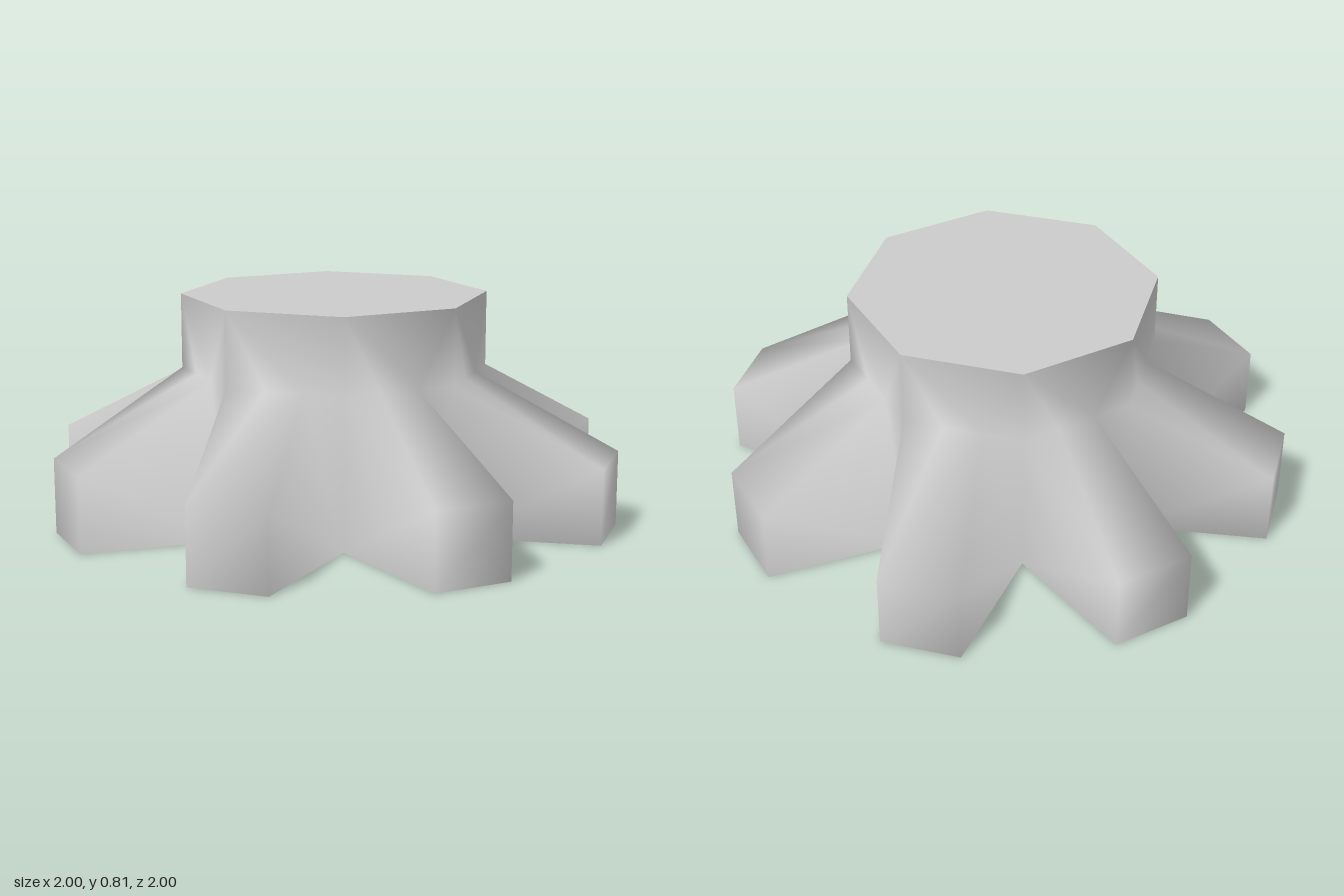
import * as THREE from 'three';

const N = 8;            // number of feet
const R = 0.553;        // corner radius of the octagonal hub
const TOP = 0.81, SHOULDER = 0.54, TOE = 0.27;
const STEP = (Math.PI * 2) / N;
const APOTHEM = R * Math.cos(STEP / 2);
const HALF = R * Math.sin(STEP / 2);

// Point on the hub corner i at height y
function corner(i, y) {
  return [R * Math.sin(i * STEP), y, R * Math.cos(i * STEP)];
}

// Point on foot i: side offset s, distance d from the axis, height y
function footPoint(i, s, d, y) {
  const a = (i + 0.5) * STEP;
  return [d * Math.sin(a) + s * Math.cos(a), y, d * Math.cos(a) - s * Math.sin(a)];
}

// The nine points of one sector: hub corner, toe and shoulder of the foot
function sector(i) {
  const w = HALF * 2 / 3, d = APOTHEM * 2;
  return [
    corner(i, 0), corner(i, SHOULDER), corner(i, TOP),
    footPoint(i, -w, d, 0), footPoint(i, w, d, 0),
    footPoint(i, -w, d, TOE), footPoint(i, w, d, TOE),
    footPoint(i, -w / 2, d / 2, SHOULDER), footPoint(i, w / 2, d / 2, SHOULDER),
  ];
}

// Smooth continuous wall of hub and feet
function wallGeometry() {
  const pos = [], index = [];
  for (let i = 0; i < N; i++) {
    sector(i).forEach((p) => pos.push(...p));
    const o = i * 9, n = ((i + 1) % N) * 9;
    const [cb, cm, ct, b1, b2, t1, t2, s1, s2] = Array.from({ length: 9 }, (_, k) => o + k);
    const db = n, dm = n + 1, dt = n + 2;
    index.push(
      cm, s1, ct, s1, s2, ct, s2, dt, ct, s2, dm, dt,  // neck
      t1, t2, s2, t1, s2, s1,                          // sloping back of the foot
      b1, b2, t2, b1, t2, t1,                          // toe
      cb, b1, t1, cb, t1, cm, cm, t1, s1,              // one flank
      b2, db, t2, db, s2, t2, s2, db, dm               // other flank
    );
  }
  const g = new THREE.BufferGeometry();
  g.setAttribute('position', new THREE.Float32BufferAttribute(pos, 3));
  g.setIndex(index);
  g.computeVertexNormals();
  return g;
}

// Star-shaped underside
function undersideGeometry() {
  const pts = [];
  for (let i = 0; i < N; i++) {
    const s = sector(i);
    [s[0], s[3], s[4]].forEach((p) => pts.push(new THREE.Vector2(p[0], p[2])));
  }
  return new THREE.ShapeGeometry(new THREE.Shape(pts)).rotateX(Math.PI / 2);
}

export function createModel() {
  const model = new THREE.Group();
  model.name = 'eightFootedBase';
  const material = new THREE.MeshStandardMaterial({ color: 0xcccccc });
  const add = (name, geometry) => {
    const mesh = new THREE.Mesh(geometry, material);
    mesh.name = name;
    model.add(mesh);
    return mesh;
  };

  add('hubAndFeet', wallGeometry());
  add('topPlate', new THREE.CircleGeometry(R, N).rotateX(-Math.PI / 2)).position.y = TOP;
  add('underside', undersideGeometry());
  return model;
}
